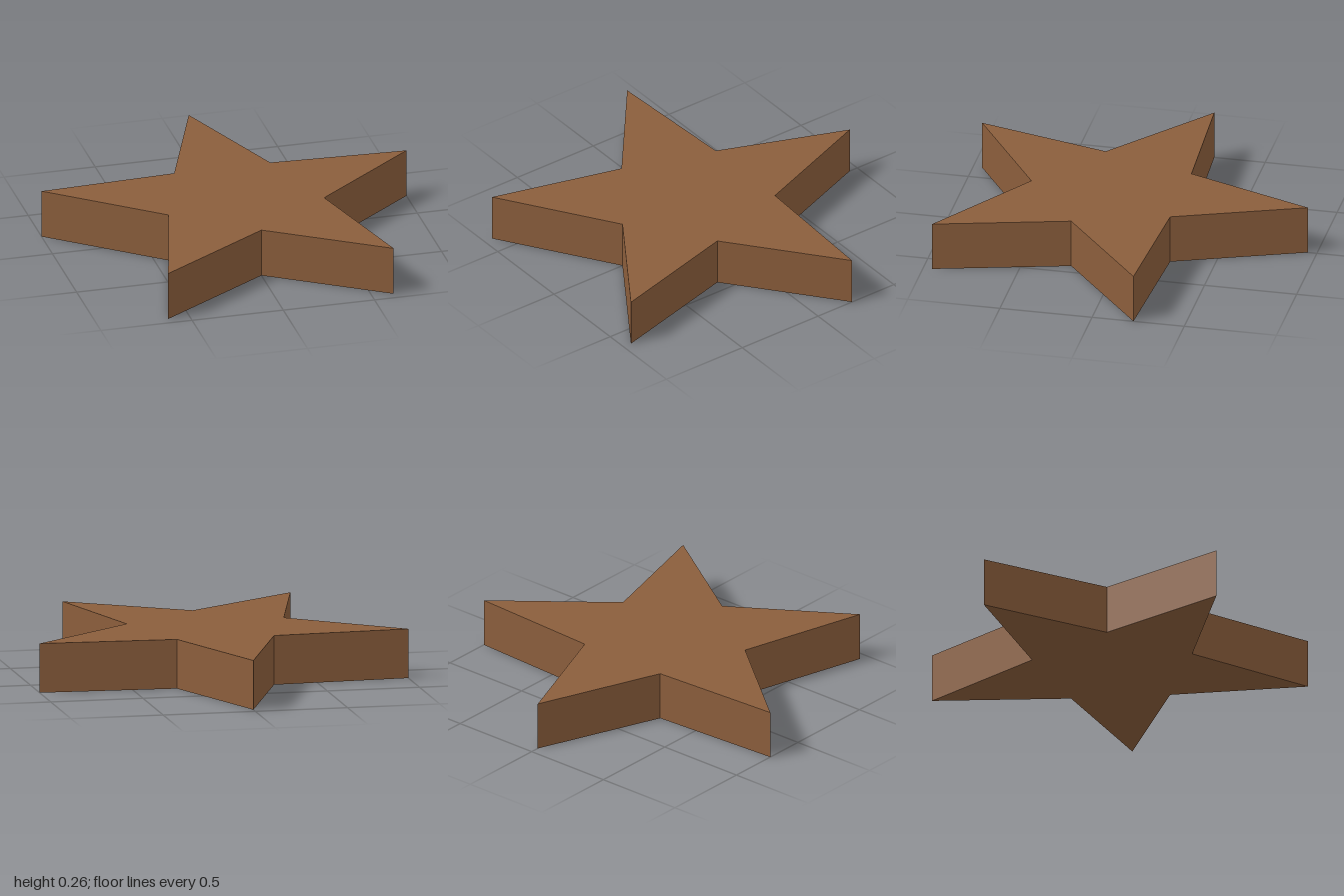
import * as THREE from 'three';

const OUTER = 1.0515, INNER = 0.448, HEIGHT = 0.265;

export function createModel() {
  const group = new THREE.Group();
  group.name = 'star';
  const brown = new THREE.MeshStandardMaterial({ color: 0x8b5e3c });
  brown.name = 'brown';

  // Five-pointed outline, alternating tips and notches, first tip to the back
  const outline = [];
  for (let i = 0; i < 10; i++) {
    const angle = Math.PI / 2 + (i * Math.PI) / 5;
    const radius = i % 2 ? INNER : OUTER;
    outline.push(new THREE.Vector2(Math.cos(angle) * radius, Math.sin(angle) * radius));
  }

  // Flat slab lying on the ground, centred on its bounding box
  const geometry = new THREE.ExtrudeGeometry(new THREE.Shape(outline), {
    depth: HEIGHT,
    bevelEnabled: false,
  });
  geometry.rotateX(-Math.PI / 2);
  geometry.translate(0, 0, (OUTER - OUTER * Math.cos(Math.PI / 5)) / 2);

  const slab = new THREE.Mesh(geometry, brown);
  slab.name = 'starSlab';
  group.add(slab);
  return group;
}
